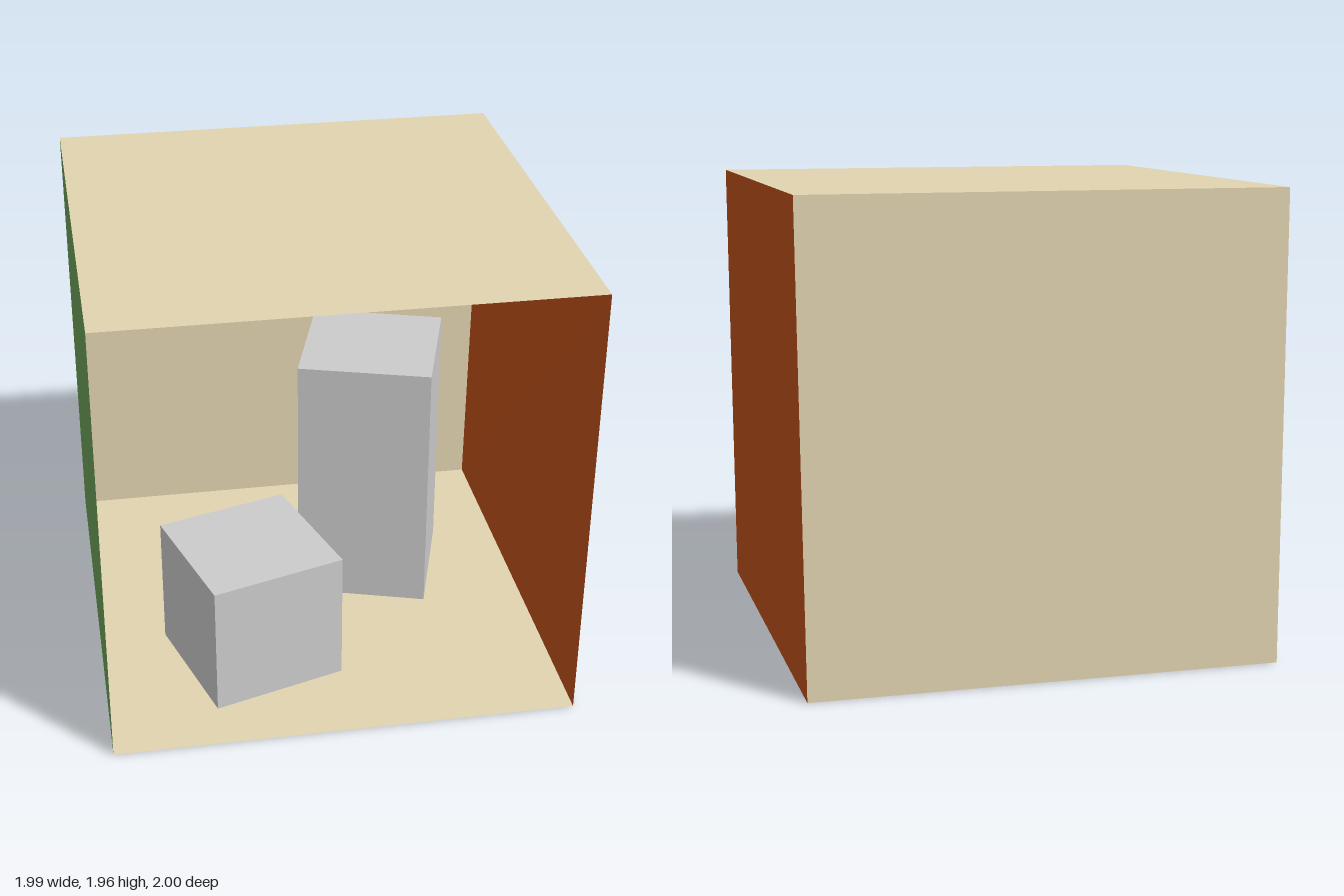
import * as THREE from 'three';

// One thin four-cornered panel, corners counter-clockwise seen from its front
function quad(name, corners, color) {
  const geometry = new THREE.BufferGeometry();
  geometry.setAttribute('position', new THREE.Float32BufferAttribute(corners.flat(), 3));
  geometry.setIndex([0, 1, 2, 0, 2, 3]);
  const flat = geometry.toNonIndexed();
  flat.computeVertexNormals();
  const mesh = new THREE.Mesh(flat, new THREE.MeshStandardMaterial({ color, side: THREE.DoubleSide }));
  mesh.name = name;
  return mesh;
}

// Upright block standing on the floor: footprint [x, z] counter-clockwise seen from above
function block(name, footprint, height) {
  const group = new THREE.Group();
  group.name = name;
  const at = (i, y) => [footprint[i % 4][0], y, footprint[i % 4][1]];
  for (let i = 0; i < 4; i++) {
    group.add(quad(name + 'Side', [at(i, 0), at(i + 1, 0), at(i + 1, height), at(i, height)], 0xcccccc));
  }
  group.add(quad(name + 'Top', [0, 1, 2, 3].map((i) => at(i, height)), 0xcccccc));
  return group;
}

export function createModel() {
  const model = new THREE.Group();
  model.name = 'openRoom';
  const beige = 0xe2d4b0, orange = 0xbf5119, green = 0x6ca059;

  // Room corners; the +x wall leans out slightly towards the top
  const X = 0.994, H = 1.963;
  const floorCorners = [[-X, 0, 1], [0.983, 0, 1], [0.972, 0, -1], [-X, 0, -1]];
  const roofCorners = [[-X, H, 1], [X, H, 1], [X, H, -1], [-X, H, -1]];
  const [f0, f1, f2, f3] = floorCorners;
  const [c0, c1, c2, c3] = roofCorners;

  // Shell, open at the front
  model.add(
    quad('floor', floorCorners, beige),
    quad('ceiling', [c3, c2, c1, c0], beige),
    quad('backWall', [f3, f2, c2, c3], beige),
    quad('leftWall', [f2, f1, c1, c2], orange),
    quad('rightWall', [f0, f3, c3, c0], green),
  );

  // Two turned blocks on the floor
  model.add(
    block('shortBlock', [[-0.529, 0.768], [0.043, 0.592], [-0.136, 0.027], [-0.701, 0.195]], 0.59),
    block('tallBlock', [[0.519, 0.117], [0.694, -0.452], [0.129, -0.631], [-0.046, -0.059]], 1.18),
  );
  return model;
}
